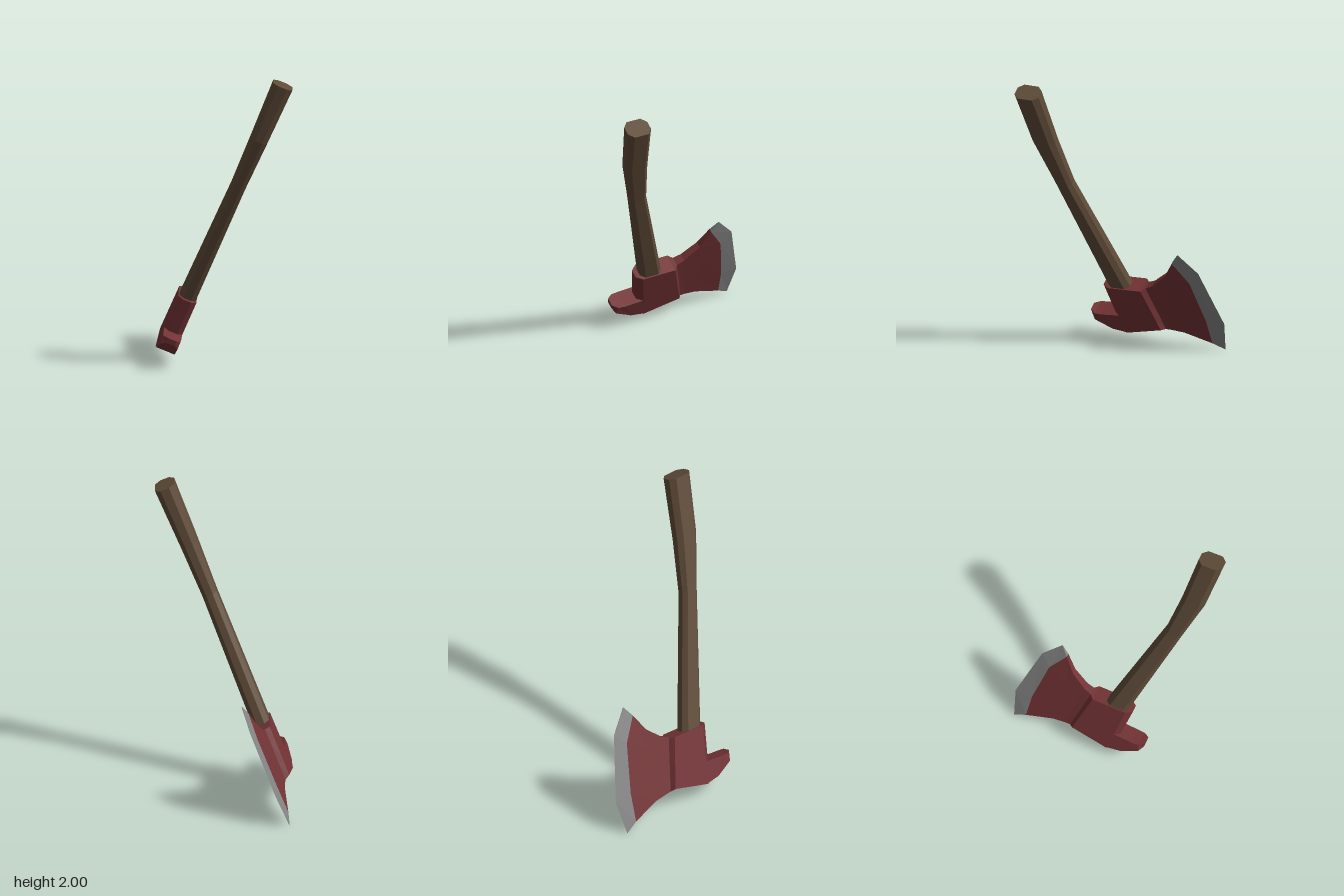
import * as THREE from 'three';

const wood = new THREE.MeshStandardMaterial({ color: 0x5f4b38 });
const redPaint = new THREE.MeshStandardMaterial({ color: 0x733335 });
const steel = new THREE.MeshStandardMaterial({ color: 0x858585 });

// Faceted skin through a row of closed rings of [x, y, z] points, capped at both ends.
function loft(rings) {
  const pos = [];
  const tri = (a, b, c) => pos.push(...a, ...b, ...c);
  const n = rings[0].length;
  for (let i = 0; i < rings.length - 1; i++) {
    for (let j = 0; j < n; j++) {
      const k = (j + 1) % n, p = rings[i], q = rings[i + 1];
      tri(p[j], p[k], q[k]);
      tri(p[j], q[k], q[j]);
    }
  }
  const first = rings[0], last = rings[rings.length - 1];
  for (let j = 1; j < n - 1; j++) {
    tri(first[0], first[j + 1], first[j]);
    tri(last[0], last[j], last[j + 1]);
  }
  const g = new THREE.BufferGeometry();
  g.setAttribute('position', new THREE.Float32BufferAttribute(pos, 3));
  g.computeVertexNormals();
  return g;
}

// Ring made from a side-view polyline of [z, y] points, top to bottom, with half thickness h.
function slab(h, ...pts) {
  const right = pts.map(([z, y]) => [h, y, z]);
  const left = pts.map(([z, y]) => [-h, y, z]).reverse();
  return [...right, ...left];
}

// Same, but with four points spread along a straight line.
function straight(h, top, bottom) {
  return slab(h, ...[0, 0.25, 0.7, 1].map((t) => [
    top[0] + (bottom[0] - top[0]) * t,
    top[1] + (bottom[1] - top[1]) * t,
  ]));
}

// Eight-sided handle section.
function octagon(y, z, halfX, halfZ) {
  return [[1, -0.6], [1, 0.6], [0.45, 1], [-0.45, 1], [-1, 0.6], [-1, -0.6], [-0.45, -1], [0.45, -1]]
    .map(([a, b]) => [a * halfX, y, z + b * halfZ]);
}

export function createModel() {
  const model = new THREE.Group();
  const axe = new THREE.Group();
  axe.name = 'axe';
  const add = (name, rings, material) => {
    const mesh = new THREE.Mesh(loft(rings), material);
    mesh.name = name;
    axe.add(mesh);
  };

  // Curved handle, from the flared grip down into the head
  add('handle', [
    octagon(2.137, 0.513, 0.068, 0.085),
    octagon(1.72, 0.452, 0.058, 0.08),
    octagon(1.365, 0.369, 0.05, 0.06),
    octagon(0.465, 0.1, 0.057, 0.078),
    octagon(0.3, 0.05, 0.055, 0.075),
  ], wood);

  // Head block, bevelled in front, narrowing into the flaring blade
  const cheek = slab(0.015, [-0.3, 0.742], [-0.4, 0.582], [-0.47, 0.25], [-0.485, 0.054]);
  add('head', [
    straight(0.03, [0.215, 0.476], [0.16, 0.2]),
    straight(0.065, [0.175, 0.48], [0.1, 0.087]),
    straight(0.065, [-0.06, 0.49], [-0.155, 0.157]),
    straight(0.033, [-0.085, 0.495], [-0.178, 0.143]),
    straight(0.028, [-0.135, 0.52], [-0.21, 0.138]),
    straight(0.023, [-0.235, 0.617], [-0.3, 0.125]),
    cheek,
  ], redPaint);

  // Hooked poll at the lower front
  add('hook', [
    slab(0.03, [0.342, 0.225], [0.337, 0.19]),
    slab(0.06, [0.305, 0.22], [0.312, 0.165]),
    slab(0.064, [0.26, 0.222], [0.193, 0.105]),
    slab(0.064, [0.1, 0.24], [0.09, 0.09]),
  ], redPaint);

  // Sharpened steel edge
  add('cuttingEdge', [
    cheek,
    slab(0.002, [-0.347, 0.817], [-0.47, 0.668], [-0.59, 0.233], [-0.565, 0.001]),
  ], steel);

  // The whole axe leans to its left
  axe.rotation.z = -Math.PI / 8;
  axe.position.x = -0.428;
  model.add(axe);
  return model;
}
